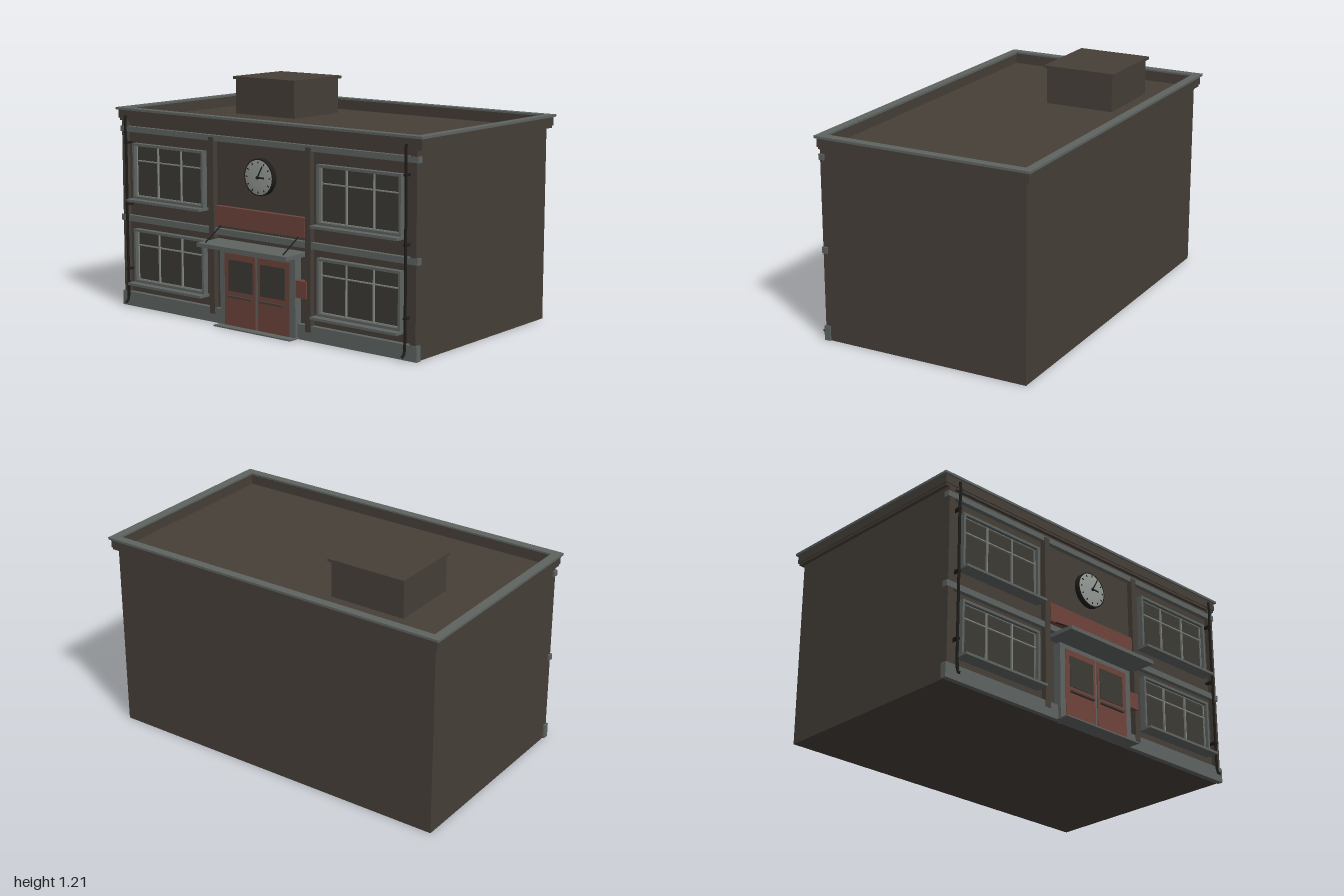
import * as THREE from 'three';

const mat = (name, color, side = THREE.FrontSide) => {
  const m = new THREE.MeshStandardMaterial({ color, side });
  m.name = name;
  return m;
};

export function createModel() {
  const brown = mat('brown wall', 0x463f38);
  const grey = mat('grey trim', 0x5e6461);
  const red = mat('dull red', 0x6f443b);
  const glass = mat('dark glass', 0x3d3a34);
  const pale = mat('pale frame', 0x828782);
  const dial = mat('clock white', 0x959a95);
  const black = mat('black iron', 0x1e1d1b);

  const model = new THREE.Group();
  model.name = 'townBuilding';

  const add = (name, geo, m, parent = model) => {
    const mesh = new THREE.Mesh(geo, m);
    mesh.name = name;
    parent.add(mesh);
    return mesh;
  };
  // Box given by its limits on each axis
  const box = (name, m, x0, x1, y0, y1, z0, z1, parent = model) => {
    const mesh = add(name, new THREE.BoxGeometry(x1 - x0, y1 - y0, z1 - z0), m, parent);
    mesh.position.set((x0 + x1) / 2, (y0 + y1) / 2, (z0 + z1) / 2);
    return mesh;
  };
  const rect = (S, x0, x1, y0, y1) => new S([
    new THREE.Vector2(x0, y0), new THREE.Vector2(x1, y0),
    new THREE.Vector2(x1, y1), new THREE.Vector2(x0, y1),
  ]);
  // Rectangular ring in the xy plane, extruded along z
  const ring = (x0, x1, y0, y1, wx, wy, depth) => {
    const s = rect(THREE.Shape, x0, x1, y0, y1);
    s.holes.push(rect(THREE.Path, x0 + wx, x1 - wx, y0 + wy, y1 - wy));
    return new THREE.ExtrudeGeometry(s, { depth, bevelEnabled: false });
  };
  // Ring lying flat on the roof
  const roofRing = (name, m, hx, zBack, zFront, wx, wz, y, h) => {
    const mesh = add(name, ring(-hx, hx, -zFront, -zBack, wx, wz, h), m);
    mesh.rotation.x = -Math.PI / 2;
    mesh.position.y = y;
  };
  const rod = (name, a, b, r, m, parent = model) =>
    add(name, new THREE.TubeGeometry(new THREE.LineCurve3(a, b), 1, r, 8), m, parent);

  // Main block, parapet and coping
  box('walls', brown, -0.965, 0.965, 0, 1.005, -0.62, 0.488);
  roofRing('cornice', brown, 0.985, -0.64, 0.505, 0.035, 0.03, 1.0, 0.06);
  roofRing('corniceLip', brown, 0.99, -0.645, 0.51, 0.04, 0.035, 1.012, 0.045);
  roofRing('coping', grey, 1.0, -0.655, 0.52, 0.048, 0.045, 1.057, 0.012);

  // Rooftop hut
  box('roofHut', brown, -0.68, -0.265, 1.0, 1.195, -0.455, -0.08);
  box('roofHutLid', brown, -0.69, -0.252, 1.195, 1.21, -0.47, -0.068);

  // Horizontal bands across the facade
  box('middleBand', grey, -0.975, 0.975, 0.463, 0.495, 0.483, 0.513);
  box('upperBand', grey, -0.975, 0.975, 0.943, 0.972, 0.483, 0.513);

  for (const s of [-1, 1]) {
    const span = (name, m, a, b, ...rest) =>
      box(name, m, Math.min(s * a, s * b), Math.max(s * a, s * b), ...rest);

    span('plinth', grey, 0.25, 0.975, 0, 0.077, 0.483, 0.515);
    span('cornerPilaster', brown, 0.93, 0.965, 0.077, 1.0, 0.48, 0.51);
    span('innerPilaster', brown, 0.302, 0.335, 0.045, 0.962, 0.48, 0.518);

    // Windows with three lights and a transom
    for (const [y0, y1, yBar] of [[0.137, 0.425, 0.338], [0.59, 0.885, 0.792]]) {
      const w = new THREE.Group();
      w.name = 'window';
      w.position.x = s * 0.628;
      model.add(w);
      const hx = 0.253;
      box('pane', glass, -hx + 0.01, hx - 0.01, y0 + 0.01, y1 - 0.01, 0.486, 0.494, w);
      add('frame', ring(-hx, hx, y0, y1, 0.013, 0.013, 0.035), grey, w).position.z = 0.486;
      for (const x of [-0.083, 0.083])
        box('mullion', pale, x - 0.003, x + 0.003, y0 + 0.012, y1 - 0.012, 0.49, 0.505, w);
      box('transom', pale, -hx + 0.012, hx - 0.012, yBar - 0.003, yBar + 0.003, 0.49, 0.504, w);
      add('innerBead', ring(-hx + 0.012, hx - 0.012, y0 + 0.012, y1 - 0.012, 0.004, 0.004, 0.012), pale, w)
        .position.z = 0.49;
      box('sill', grey, -0.263, 0.263, y0 - 0.013, y0, 0.486, 0.562, w);
    }

    // Drainpipe with wall straps
    const path = new THREE.CatmullRomCurve3([
      [1.03, 0.53], [0.98, 0.534], [0.9, 0.53], [0.5, 0.53], [0.08, 0.53], [0.035, 0.535], [0.02, 0.558],
    ].map(([y, z]) => new THREE.Vector3(s * 0.917, y, z)), false, 'centripetal');
    add('drainpipe', new THREE.TubeGeometry(path, 40, 0.007, 8), black);
    for (const y of [0.2, 0.55, 0.88])
      box('pipeStrap', black, s * 0.917 - 0.01, s * 0.917 + 0.01, y, y + 0.01, 0.486, 0.535);

    // Door leaf, pane and push bar
    span('doorLeaf', red, 0.008, 0.215, 0.006, 0.382, 0.486, 0.535);
    span('doorPane', glass, 0.025, 0.187, 0.188, 0.35, 0.534, 0.538);
    span('pushBar', brown, 0.025, 0.187, 0.156, 0.165, 0.535, 0.55);

    // Canopy stay
    rod('canopyStay', new THREE.Vector3(s * 0.256, 0.515, 0.512),
      new THREE.Vector3(s * 0.256, 0.44, 0.635), 0.0035, black);
  }

  // Entrance surround, step and canopy
  box('doorJambRight', grey, -0.25, -0.215, 0, 0.405, 0.486, 0.532);
  box('doorJambLeft', grey, 0.215, 0.25, 0, 0.405, 0.486, 0.532);
  box('doorHead', grey, -0.215, 0.215, 0.382, 0.405, 0.486, 0.532);
  box('doorPost', grey, -0.008, 0.008, 0, 0.382, 0.486, 0.53);
  box('doorStep', grey, -0.255, 0.255, 0, 0.007, 0.48, 0.58);
  box('canopy', grey, -0.295, 0.295, 0.42, 0.44, 0.486, 0.655);

  // Red boards
  box('signBoard', red, -0.295, 0.295, 0.513, 0.613, 0.486, 0.515);
  box('noticeBoard', red, 0.25, 0.315, 0.212, 0.298, 0.486, 0.528);

  // Clock
  const clock = new THREE.Group();
  clock.name = 'clock';
  clock.position.set(0, 0.785, 0.488);
  model.add(clock);
  const rim = add('clockRim', new THREE.CylinderGeometry(0.094, 0.094, 0.028, 40), black, clock);
  rim.rotation.x = Math.PI / 2;
  rim.position.z = 0.014;
  const dome = add('clockFace', new THREE.LatheGeometry([
    [0.088, 0.028], [0.07, 0.031], [0.04, 0.033], [0, 0.034],
  ].map(([r, y]) => new THREE.Vector2(r, y)), 40), dial, clock);
  dome.rotation.x = Math.PI / 2;
  // Strip pointing outward at a clockwise angle from twelve
  const strip = (name, turn, r0, r1, w, z) => {
    const g = new THREE.BoxGeometry(w, r1 - r0, 0.003);
    g.translate(0, (r0 + r1) / 2, z);
    add(name, g, black, clock).rotation.z = -turn * Math.PI * 2;
  };
  for (let i = 0; i < 12; i++) strip('hourMark', i / 12, 0.07, 0.081, 0.005, 0.031);
  strip('hourHand', 0.25, -0.005, 0.042, 0.008, 0.036);
  strip('minuteHand', 0.08, -0.008, 0.066, 0.006, 0.037);
  const hub = add('clockHub', new THREE.CylinderGeometry(0.008, 0.008, 0.008, 16), black, clock);
  hub.rotation.x = Math.PI / 2;
  hub.position.z = 0.036;

  return model;
}
